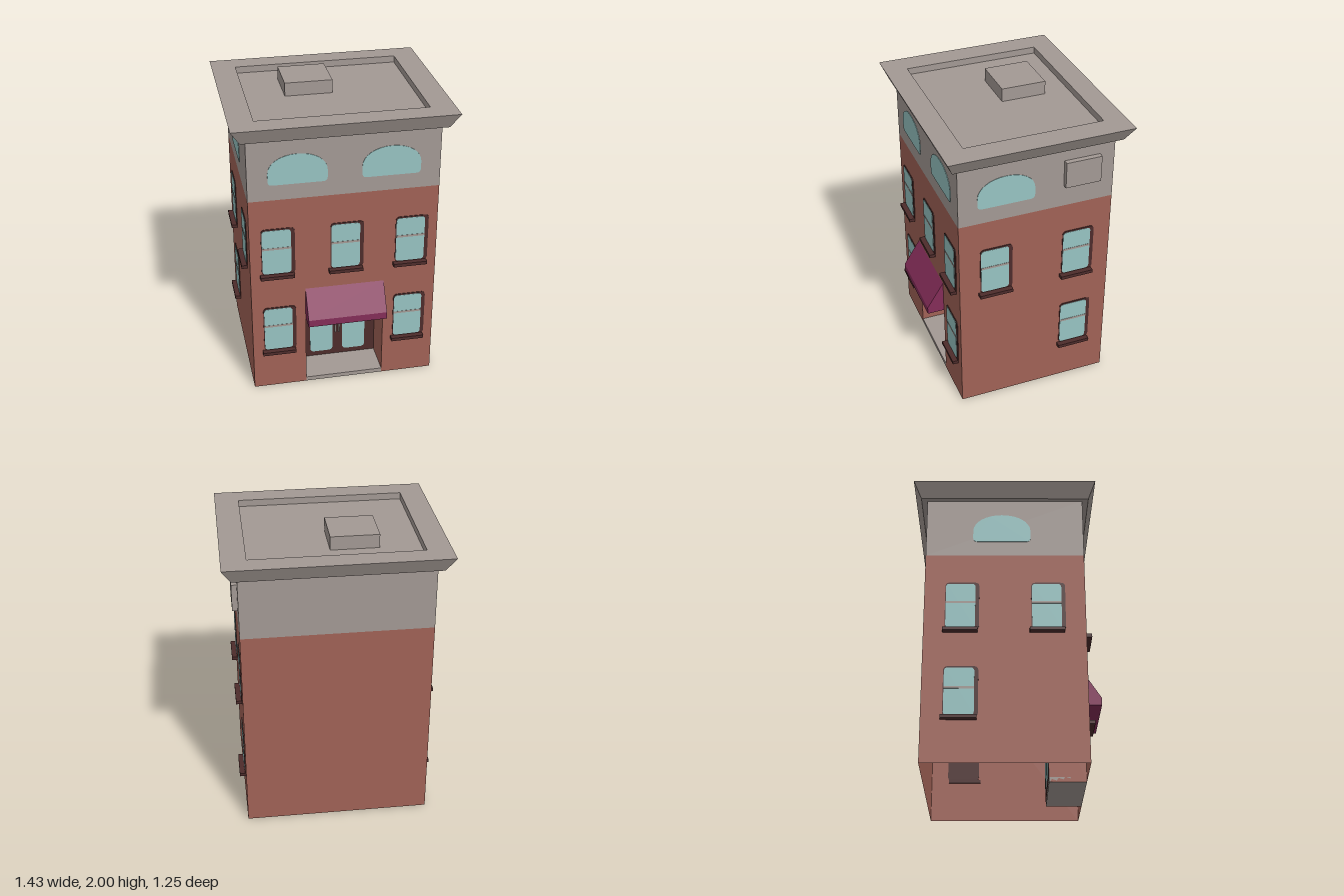
import * as THREE from 'three';

const mat = (name, color, side = THREE.FrontSide) => {
  const m = new THREE.MeshStandardMaterial({ color, side });
  m.name = name;
  return m;
};

export function createModel() {
  const brick = mat('brick', 0xa06256, THREE.DoubleSide);
  const stone = mat('stone', 0xa39994, THREE.DoubleSide);
  const glass = mat('glass', 0x97c3c2);
  const trim = mat('dark trim', 0x4d2c2b);
  const canvas = mat('awning canvas', 0x842d58);

  const root = new THREE.Group();
  root.name = 'townhouse';
  const X = 0.62, FRONT = 0.51, BACK = -0.53, BAND = 1.435, TOP = 1.86;
  const midZ = (FRONT + BACK) / 2, depth = FRONT - BACK;

  const add = (parent, name, geo, material, x = 0, y = 0, z = 0) => {
    const m = new THREE.Mesh(geo, material);
    m.name = name;
    m.position.set(x, y, z);
    parent.add(m);
    return m;
  };
  // box given by its limits
  const box = (parent, name, material, x0, x1, y0, y1, z0, z1) =>
    add(parent, name, new THREE.BoxGeometry(x1 - x0, y1 - y0, z1 - z0), material,
      (x0 + x1) / 2, (y0 + y1) / 2, (z0 + z1) / 2);
  // thin plate centred on z = 0 of its parent
  const plate = (parent, name, shape, material, thick, z = 0) =>
    add(parent, name, new THREE.ExtrudeGeometry(shape, { depth: thick, bevelEnabled: false, curveSegments: 8 }),
      material, 0, 0, z - thick / 2);

  const roundRect = (x0, x1, y0, y1, r) => {
    const s = new THREE.Shape();
    s.moveTo(x0 + r, y0);
    s.lineTo(x1 - r, y0);
    s.quadraticCurveTo(x1, y0, x1, y0 + r);
    s.lineTo(x1, y1 - r);
    s.quadraticCurveTo(x1, y1, x1 - r, y1);
    s.lineTo(x0 + r, y1);
    s.quadraticCurveTo(x0, y1, x0, y1 - r);
    s.lineTo(x0, y0 + r);
    s.quadraticCurveTo(x0, y0, x0 + r, y0);
    return s;
  };

  // wall faces; each group has its own outward +z
  const face = (name, x, z, turn) => {
    const g = new THREE.Group();
    g.name = name;
    g.position.set(x, 0, z);
    g.rotation.y = turn;
    root.add(g);
    return g;
  };
  const front = face('frontWall', 0, FRONT, 0);
  const back = face('backWall', 0, BACK, Math.PI);
  const right = face('positiveXWall', X, 0, Math.PI / 2);
  const left = face('negativeXWall', -X, 0, -Math.PI / 2);

  const panel = (g, name, material, x0, x1, y0, y1) =>
    add(g, name, new THREE.PlaneGeometry(x1 - x0, y1 - y0), material, (x0 + x1) / 2, (y0 + y1) / 2, 0);
  for (const [g, x0, x1] of [[front, -X, X], [back, -X, X], [right, -FRONT, -BACK], [left, BACK, FRONT]]) {
    panel(g, 'stoneBand', stone, x0, x1, BAND, TOP);
    if (g !== front) panel(g, 'brickWall', brick, x0, x1, 0, BAND);
  }

  // front brick wall around the entrance opening
  const D0 = -0.26, D1 = 0.27, DH = 0.62, DZ = 0.27;
  const outline = [[-X, 0], [D0, 0], [D0, DH], [D1, DH], [D1, 0], [X, 0], [X, BAND], [-X, BAND]];
  add(front, 'brickWall', new THREE.ShapeGeometry(
    new THREE.Shape(outline.map(([x, y]) => new THREE.Vector2(x, y)))), brick);

  // sash windows
  const sashWindow = (g, x, y) => {
    const w = new THREE.Group();
    w.name = 'sashWindow';
    w.position.set(x, y, 0);
    g.add(w);
    plate(w, 'windowFrame', roundRect(-0.1, 0.12, 0.01, 0.35, 0.03), trim, 0.008);
    plate(w, 'windowGlass', roundRect(-0.095, 0.095, 0.02, 0.34, 0.025), glass, 0.0095, 0.0015);
    box(w, 'meetingRail', stone, -0.095, 0.095, 0.198, 0.213, 0, 0.008);
    box(w, 'windowSill', trim, -0.112, 0.112, -0.008, 0.015, -0.005, 0.04);
  };
  const F1 = 0.285, F2 = 0.88;
  for (const x of [-0.445, 0.008, 0.44]) sashWindow(front, x, F2);
  for (const x of [-0.445, 0.44]) sashWindow(front, x, F1);
  for (const [g, a, b] of [[right, 0.295, -0.27], [left, -0.295, 0.26]]) {
    sashWindow(g, a, F1);
    sashWindow(g, a, F2);
    sashWindow(g, b, F2);
  }

  // arched windows in the stone band
  const archWindow = (g, x) => {
    const s = new THREE.Shape(), w = 0.19, y0 = 1.54, y1 = 1.745, r = 0.03;
    s.moveTo(x - w + r, y0);
    s.lineTo(x + w - r, y0);
    s.quadraticCurveTo(x + w, y0, x + w, y0 + r);
    s.lineTo(x + w, 1.62);
    s.bezierCurveTo(x + w, 1.69, x + 0.11, y1, x, y1);
    s.bezierCurveTo(x - 0.11, y1, x - w, 1.69, x - w, 1.62);
    s.lineTo(x - w, y0 + r);
    s.quadraticCurveTo(x - w, y0, x - w + r, y0);
    plate(g, 'archWindow', s, glass, 0.006);
  };
  archWindow(front, -0.3);
  archWindow(front, 0.302);
  archWindow(right, -0.193);
  archWindow(left, -0.03);

  // wall unit
  box(root, 'wallUnit', stone, X, 0.655, 1.585, 1.765, -0.43, -0.19);

  // entrance recess
  const reveal = FRONT - DZ;
  for (const [x, turn] of [[D0, 1], [D1, -1]]) {
    add(root, 'entranceReveal', new THREE.PlaneGeometry(reveal, DH), brick, x, DH / 2, DZ + reveal / 2)
      .rotation.y = turn * Math.PI / 2;
  }
  add(root, 'entranceCeiling', new THREE.PlaneGeometry(D1 - D0, reveal), brick, 0.005, DH, DZ + reveal / 2)
    .rotation.x = Math.PI / 2;
  box(root, 'doorStep', stone, D0, D1, 0, 0.03, DZ, FRONT);
  const door = face('entranceDoors', 0, DZ, 0);
  box(door, 'doorPanel', trim, D0, D1, 0.03, DH, -0.003, 0.003);
  plate(door, 'doorGlass', roundRect(-0.19, -0.03, 0.065, 0.415, 0.03), glass, 0.0095);
  plate(door, 'doorGlass', roundRect(0.04, 0.2, 0.065, 0.415, 0.03), glass, 0.0095);
  for (const x of [-0.01, 0.014]) box(door, 'doorHandle', stone, x - 0.005, x + 0.005, 0.22, 0.3, 0, 0.02);

  // awning: side profile drawn as (z, y) and swept along x
  const profile = new THREE.Shape([[0, 0.525], [0.115, 0.525], [0.115, 0.575], [0, 0.755]]
    .map(([z, y]) => new THREE.Vector2(z, y)));
  const awning = add(root, 'awning', new THREE.ExtrudeGeometry(profile, { depth: D1 - D0, bevelEnabled: false }),
    canvas, D1, 0, FRONT);
  awning.rotation.y = -Math.PI / 2;

  // cornice and sunken roof from rectangular rings: half width, back z, front z, y
  const rings = [
    [X, BACK, FRONT, 1.855], [0.655, -0.57, 0.55, 1.855], [0.715, -0.62, 0.595, 1.955],
    [0.555, -0.475, 0.445, 1.955], [0.555, -0.475, 0.445, 1.91], [0, -0.015, -0.015, 1.91],
  ].map(([w, b, f, y]) => [[-w, y, f], [w, y, f], [w, y, b], [-w, y, b]]);
  const pos = [];
  for (let i = 0; i < rings.length - 1; i++) {
    for (let k = 0; k < 4; k++) {
      const n = (k + 1) % 4, [a, b, c, d] = [rings[i][k], rings[i][n], rings[i + 1][n], rings[i + 1][k]];
      pos.push(...a, ...b, ...c);
      if (i < rings.length - 2) pos.push(...a, ...c, ...d);
    }
  }
  const cornice = new THREE.BufferGeometry();
  cornice.setAttribute('position', new THREE.Float32BufferAttribute(pos, 3));
  cornice.computeVertexNormals();
  add(root, 'corniceAndRoof', cornice, stone);
  box(root, 'roofHatch', stone, -0.29, 0.025, 1.91, 2, -0.31, -0.01);

  return root;
}
